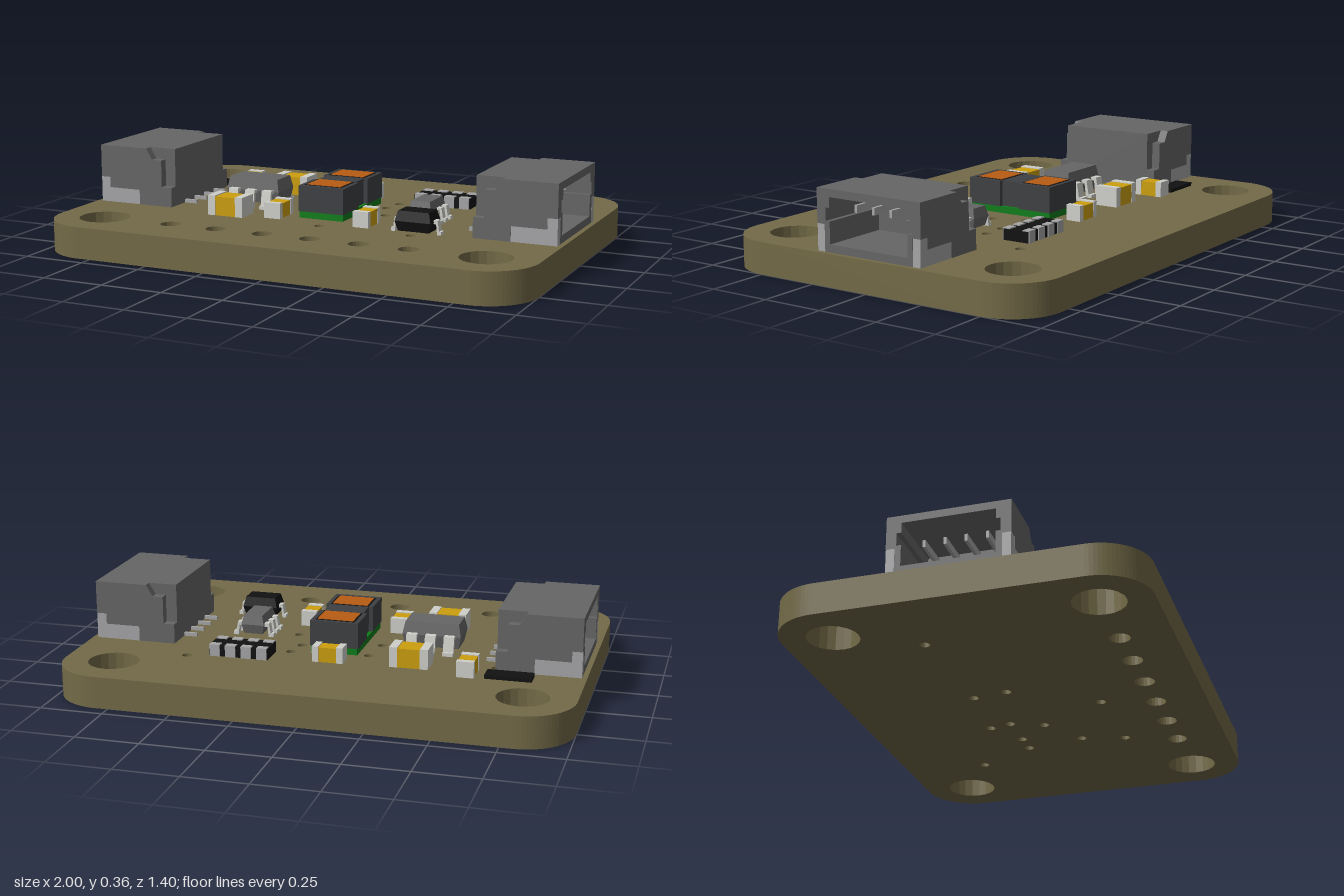
import * as THREE from 'three';

const paint = (name, color) => {
  const m = new THREE.MeshStandardMaterial({ color });
  m.name = name;
  return m;
};
const TOP = 0.125; // upper face of the board

export function createModel() {
  const M = {
    board: paint('olive board', 0x736a47),
    housing: paint('grey plastic', 0x666666),
    metal: paint('light metal', 0xcfcfca),
    lead: paint('lead grey', 0xa6a6a8),
    black: paint('black', 0x111111),
    sensor: paint('dark sensor plastic', 0x3f4043),
    gold: paint('ochre ceramic', 0xcc9f0e),
    window: paint('orange window', 0xb85c12),
    green: paint('green substrate', 0x0f7d1a),
  };
  const root = new THREE.Group();
  root.name = 'sensorBoard';

  const group = (name, x = 0, z = 0, parent = root) => {
    const g = new THREE.Group();
    g.name = name;
    g.position.set(x, 0, z);
    parent.add(g);
    return g;
  };
  const mesh = (parent, name, geo, mat) => {
    const m = new THREE.Mesh(geo, mat);
    m.name = name;
    parent.add(m);
    return m;
  };
  // Box given by its limits on each axis
  const box = (parent, name, mat, x0, x1, y0, y1, z0, z1) => {
    const m = mesh(parent, name, new THREE.BoxGeometry(x1 - x0, y1 - y0, z1 - z0), mat);
    m.position.set((x0 + x1) / 2, (y0 + y1) / 2, (z0 + z1) / 2);
    return m;
  };
  const poly = (pts) => new THREE.Shape(pts.map((p) => new THREE.Vector2(...p)));
  const extrude = (shape, depth, curveSegments = 10) =>
    new THREE.ExtrudeGeometry(shape, { depth, bevelEnabled: false, curveSegments });

  // Board with rounded corners, mounting holes, header holes and vias
  const outline = new THREE.Shape();
  const arc = (x, y, a) => outline.absarc(x, y, 0.2, a, a + Math.PI / 2, false);
  arc(0.8, 0.5, 0);
  arc(-0.8, 0.5, Math.PI / 2);
  arc(-0.8, -0.5, Math.PI);
  arc(0.8, -0.5, Math.PI * 1.5);
  const hole = (x, z, r) => {
    const p = new THREE.Path();
    p.absarc(x, -z, r, 0, Math.PI * 2, true);
    outline.holes.push(p);
  };
  for (const x of [-0.8, 0.8]) for (const z of [-0.5, 0.5]) hole(x, z, 0.1);
  for (let i = 0; i < 6; i++) hole(-0.5 + i * 0.2, 0.5, 0.04);
  const vias = [[0.55, -0.36], [0.17, -0.21], [0.15, -0.12], [-0.14, -0.18], [-0.16, -0.04],
    [0.2, 0.01], [0.32, -0.12], [0.42, -0.12], [0.38, 0.12], [0.04, 0.29], [0.425, 0.295], [-0.65, -0.2]];
  for (const [x, z] of vias) hole(x, z, 0.02);
  mesh(root, 'board', extrude(outline, TOP).rotateX(-Math.PI / 2), M.board);

  // Side-entry connectors, the left one turned half round
  const connector = (name, turn) => {
    const g = group(name);
    g.rotation.y = turn;
    const face = poly([[-0.2, TOP], [0.2, TOP], [0.2, 0.36], [-0.2, 0.36]]);
    face.holes.push(poly([[-0.177, 0.155], [-0.177, 0.24], [-0.195, 0.24], [-0.195, 0.29], [-0.177, 0.29],
      [-0.177, 0.33], [0.177, 0.33], [0.177, 0.29], [0.195, 0.29], [0.195, 0.24], [0.177, 0.24], [0.177, 0.155]]));
    const shell = mesh(g, 'connectorShell', extrude(face, 0.28).rotateY(Math.PI / 2), M.housing);
    shell.position.x = 0.7;
    box(g, 'connectorBack', M.housing, 0.65, 0.7, TOP, 0.36, -0.2, 0.2);
    const side = poly([[0.65, TOP], [0.8, TOP], [0.8, 0.185], [0.94, 0.185], [0.94, 0.228], [0.98, 0.228],
      [0.98, 0.36], [0.765, 0.36], [0.738, 0.315], [0.695, 0.315], [0.695, 0.205], [0.65, 0.205]]);
    const tab = poly([[0.8, TOP], [0.98, TOP], [0.98, 0.228], [0.94, 0.228], [0.94, 0.185], [0.8, 0.185]]);
    for (const z of [-0.235, 0.2]) {
      mesh(g, 'connectorSide', extrude(side, 0.035), M.housing).position.z = z;
      mesh(g, 'solderTab', extrude(tab, 0.033), M.lead).position.z = z + 0.001;
    }
    for (const z of [-0.12, -0.04, 0.04, 0.12]) {
      box(g, 'contact', M.lead, 0.7, 0.9, 0.265, 0.293, z - 0.006, z + 0.006);
      box(g, 'contactTail', M.lead, 0.595, 0.66, TOP, 0.139, z - 0.006, z + 0.006);
    }
  };
  connector('leftConnector', 0);
  connector('rightConnector', Math.PI);

  // Central sensor: substrate, waisted case and two windows
  const sensor = group('opticalSensor');
  box(sensor, 'substrate', M.green, -0.094, 0.094, TOP, 0.152, -0.19, 0.188);
  const waist = poly([[-0.097, -0.192], [0.097, -0.192], [0.097, -0.045], [0.08, -0.045], [0.08, 0.045],
    [0.097, 0.045], [0.097, 0.192], [-0.097, 0.192], [-0.097, 0.045], [-0.08, 0.045], [-0.08, -0.045], [-0.097, -0.045]]);
  mesh(sensor, 'sensorCase', extrude(waist, 0.103).rotateX(-Math.PI / 2), M.sensor).position.y = 0.152;
  for (const z of [-0.113, 0.108]) {
    box(sensor, 'windowRim', M.black, -0.079, 0.079, 0.25, 0.256, z - 0.063, z + 0.063);
    box(sensor, 'window', M.window, -0.072, 0.072, 0.25, 0.258, z - 0.056, z + 0.056);
  }

  // Ceramic capacitors: length along x, or along z when turned
  const capacitor = (x, z, length, width, top, turned) => {
    const g = group('capacitor', x, z);
    if (turned) g.rotation.y = Math.PI / 2;
    const l = length / 2, w = width / 2, e = l - length * 0.21;
    box(g, 'ceramicBody', M.gold, -e, e, TOP, top - 0.004, -w + 0.002, w - 0.002);
    for (const s of [-1, 1]) box(g, 'endCap', M.metal, Math.min(s * e, s * l), Math.max(s * e, s * l), TOP, top, -w, w);
  };
  capacitor(-0.553, -0.283, 0.12, 0.068, 0.188, true);
  capacitor(-0.185, 0.19, 0.12, 0.07, 0.188, true);
  capacitor(0.198, 0.194, 0.12, 0.064, 0.188, true);
  capacitor(-0.005, -0.276, 0.123, 0.064, 0.188, false);
  capacitor(-0.323, -0.243, 0.153, 0.098, 0.205, false);
  capacitor(-0.373, 0.243, 0.153, 0.096, 0.205, false);

  // Chip with bulging sides and bent leads in two rows along x
  const chip = (name, mat, w, d, y0, y1, reach, leadWidth, leadXs) => {
    const g = group(name);
    const geo = new THREE.BoxGeometry(w, y1 - y0, d, 1, 2, 1);
    const p = geo.attributes.position;
    for (let i = 0; i < p.count; i++) {
      if (Math.abs(p.getY(i)) < 1e-6) continue;
      p.setX(i, p.getX(i) - Math.sign(p.getX(i)) * 0.01);
      p.setZ(i, p.getZ(i) - Math.sign(p.getZ(i)) * 0.01);
    }
    const flat = geo.toNonIndexed();
    flat.computeVertexNormals();
    mesh(g, 'chipBody', flat, mat).position.y = (y0 + y1) / 2;
    const h = (y0 + y1) / 2, t = 0.014, r = reach;
    const bend = poly([[-0.01, h - t / 2], [r * 0.3, h - t / 2], [r * 0.45, TOP], [r, TOP], [r, TOP + t],
      [r * 0.7, TOP + t], [r * 0.5, h + t / 2], [-0.01, h + t / 2]]);
    const leadGeo = extrude(bend, leadWidth).translate(d / 2, 0, -leadWidth / 2);
    for (const s of [-1, 1]) for (const x of leadXs) {
      const m = mesh(g, 'lead', leadGeo, M.metal);
      m.position.x = x;
      m.rotation.y = -s * Math.PI / 2;
    }
    return g;
  };
  chip('regulatorChip', M.housing, 0.235, 0.136, 0.14, 0.24, 0.05, 0.042, [-0.075, 0, 0.075]).position.set(-0.363, 0, 0.004);
  const small = chip('levelShifterChip', M.housing, 0.156, 0.096, 0.135, 0.212, 0.036, 0.028, [-0.052, 0, 0.052]);
  small.position.set(0.378, 0, 0.014);
  small.rotation.y = Math.PI / 2;
  const diode = chip('diode', M.black, 0.102, 0.146, 0.135, 0.213, 0.03, 0.03, [0]);
  diode.position.set(0.427, 0, 0.235);
  diode.rotation.y = Math.PI / 2;

  // Four-way resistor array
  const array = group('resistorArray', 0.347, -0.284);
  box(array, 'arrayBody', M.black, -0.12, 0.12, TOP, 0.168, -0.055, 0.055);
  for (let i = 0; i < 4; i++) for (const s of [-1, 1]) {
    const x = -0.096 + i * 0.064;
    box(array, 'arrayPad', M.lead, x - 0.021, x + 0.021, TOP, 0.172, s * 0.044 - 0.015, s * 0.044 + 0.015);
  }

  // Flat black part beside the connector
  box(root, 'flatResistor', M.black, -0.805, -0.625, TOP, 0.14, -0.333, -0.26);

  return root;
}
